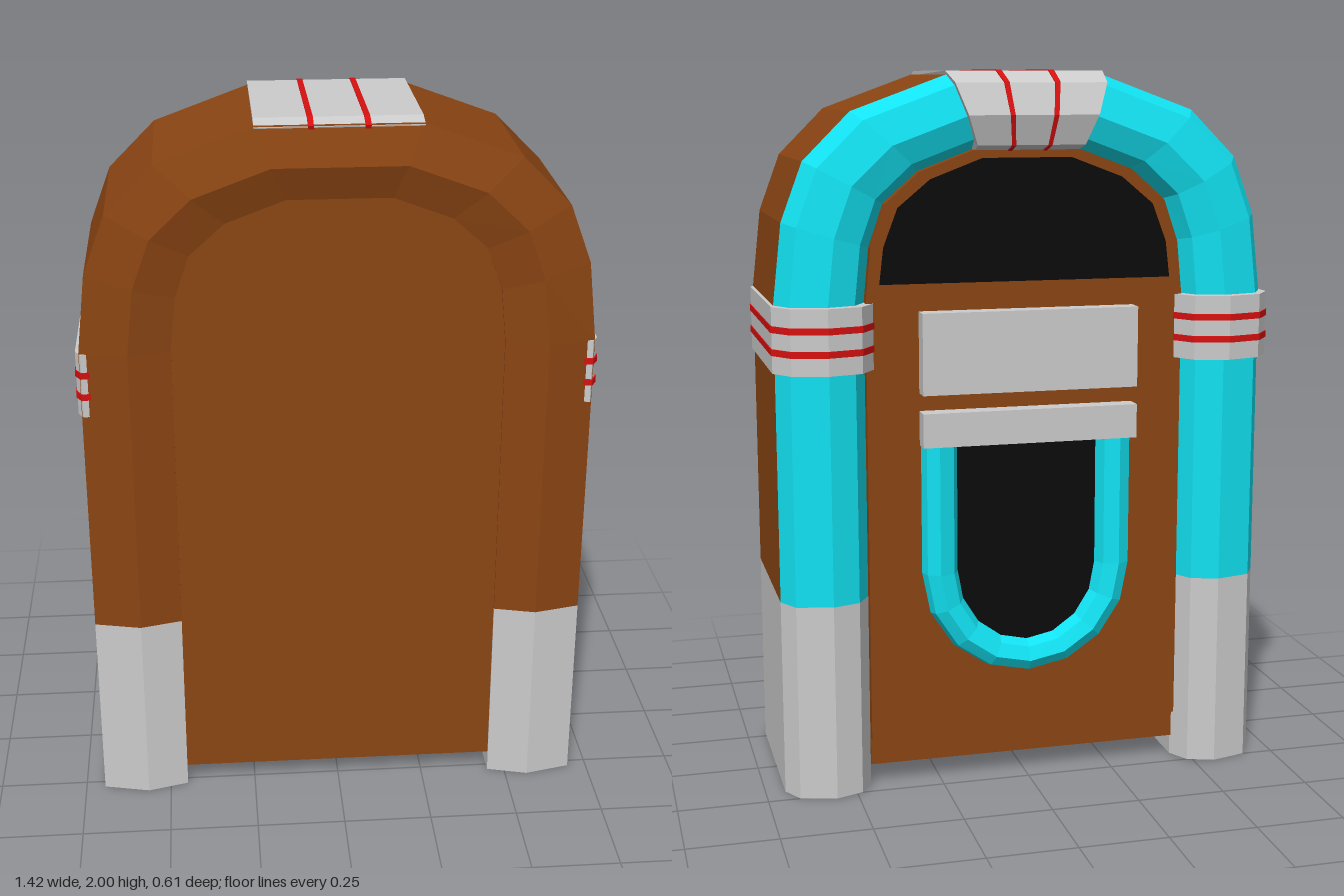
import * as THREE from 'three';

const material = (color) => new THREE.MeshStandardMaterial({ color, flatShading: true });
const GREY = material(0xcccccc), BROWN = material(0x8b4513), CYAN = material(0x12e2f2);
const RED = material(0xd81010), BLACK = material(0x0b0b0b);

// Skin a row of closed cross-sections and cap both ends, facing outward
function loft(sections) {
  const tris = [], n = sections[0].length;
  for (let i = 0; i < sections.length - 1; i++) {
    const a = sections[i], b = sections[i + 1];
    for (let j = 0; j < n; j++) {
      const k = (j + 1) % n;
      tris.push([a[j], a[k], b[k]], [a[j], b[k], b[j]]);
    }
  }
  const first = sections[0], last = sections[sections.length - 1];
  for (let j = 1; j < n - 1; j++) {
    tris.push([first[0], first[j + 1], first[j]], [last[0], last[j], last[j + 1]]);
  }
  const v = (p) => new THREE.Vector3(...p);
  const volume = tris.reduce((s, [a, b, c]) => s + v(a).dot(v(b).cross(v(c))), 0);
  if (volume < 0) tris.forEach((t) => t.reverse());
  const geometry = new THREE.BufferGeometry();
  geometry.setAttribute('position', new THREE.Float32BufferAttribute(tris.flat(2), 3));
  geometry.computeVertexNormals();
  return geometry;
}

// Sweep a [t, z] section between matching outer and inner outlines
const sweep = (outer, inner, section) => loft(outer.map(([ox, oy], i) => section.map(([t, z]) =>
  [ox + (inner[i][0] - ox) * t, oy + (inner[i][1] - oy) * t, z])));

// Complete a right-hand outline with its mirror image
const mirrored = (points) => [...points, ...points.slice().reverse().map(([x, y]) => [-x, y])];

const toShape = (points) => new THREE.Shape(points.map(([x, y]) => new THREE.Vector2(x, y)));

function slab(points, z0, z1) {
  const geometry = new THREE.ExtrudeGeometry(toShape(points), { depth: z1 - z0, bevelEnabled: false });
  return geometry.translate(0, 0, z0);
}

function box(x0, x1, y0, y1, z0, z1) {
  return new THREE.BoxGeometry(x1 - x0, y1 - y0, z1 - z0)
    .translate((x0 + x1) / 2, (y0 + y1) / 2, (z0 + z1) / 2);
}

export function createModel() {
  const group = new THREE.Group();
  const add = (name, geometry, mat) => {
    const mesh = new THREE.Mesh(geometry, mat);
    mesh.name = name;
    group.add(mesh);
  };

  // Arched cabinet: brown casing with a cyan tube on the display face
  const footTop = 0.555;
  const outer = mirrored([[0.695, footTop], [0.695, 1.38], [0.67, 1.6], [0.61, 1.76], [0.48, 1.89], [0.22, 1.985]]);
  const inner = mirrored([[0.45, footTop], [0.45, 1.38], [0.435, 1.53], [0.395, 1.645], [0.3, 1.73], [0.14, 1.79]]);
  const casing = [[0, 0.275], [0.53, 0.305], [1, 0.275], [1, -0.19], [0, -0.19]];
  const tube = [[1, -0.19], [0.86, -0.25], [0.55, -0.275], [0.14, -0.25], [0, -0.19]];
  add('casing', sweep(outer, inner, casing), BROWN);
  add('archTube', sweep(outer, inner, tube), CYAN);

  // Panel filling the arch, with a set-back plinth under it
  add('panel', slab([[0.45, 0.14], ...inner, [-0.45, 0.14]], -0.22, 0.27), BROWN);
  add('plinth', box(-0.45, 0.45, 0.06, 0.14, -0.2, 0.27), BROWN);

  // Feet continue the column section; clamps wrap the columns
  const footSection = [...casing.slice(0, 3), ...tube];
  const clampSection = [[0.69, 0.282], [0.705, 0.255], [0.705, -0.22], [0.662, -0.28], [0.565, -0.305],
    [0.47, -0.28], [0.43, -0.22], [0.46, 0.25]];
  const column = (section, y0, y1, side) =>
    loft([y0, y1].map((y) => section.map(([x, z]) => [side * x, y, z])));
  const stripeSection = clampSection.map(([x, z]) => [0.56 + (x - 0.56) * 1.02, z * 1.01]);
  for (const [label, side] of [['left', 1], ['right', -1]]) {
    const foot = footSection.map(([t, z]) => [0.695 - 0.245 * t, z]);
    add(label + 'Foot', column(foot, 0, footTop, side), GREY);
    add(label + 'Clamp', column(clampSection, 1.2, 1.38, side), GREY);
    for (const y of [1.258, 1.32]) {
      add(label + 'ClampStripe', column(stripeSection, y - 0.009, y + 0.009, side), RED);
    }
  }

  // Clamp over the crown: [half width, y, z], narrowing as it folds down
  const crown = [[0.22, 1.982, 0.278], [0.22, 1.996, 0.23], [0.22, 1.996, -0.19], [0.21, 1.965, -0.268],
    [0.18, 1.88, -0.298], [0.15, 1.8, -0.27], [0.145, 1.78, -0.2], [0.2, 1.93, 0.26]];
  const crownSlice = (s, grow) => crown.map(([w, y, z]) => [s * w, 1.88 + (y - 1.88) * (1 + grow * 2), z * (1 + grow)]);
  add('crownClamp', loft([crownSlice(-1, 0), crownSlice(1, 0)]), GREY);
  for (const side of [-1, 1]) {
    add('crownStripe', loft([crownSlice(side * 0.3, 0.012), crownSlice(side * 0.37, 0.012)]), RED);
  }

  // Arched display window
  const display = mirrored([[0.412, 1.43], [0.4, 1.53], [0.36, 1.635], [0.27, 1.71], [0.125, 1.765]]);
  add('displayWindow', slab(display, -0.223, -0.215), BLACK);

  // Title board and shelf
  add('titleBoard', box(-0.305, 0.305, 1.13, 1.355, -0.273, -0.21), GREY);
  add('shelf', box(-0.305, 0.305, 0.985, 1.08, -0.273, -0.21), GREY);

  // U-shaped frame around the lower window
  const uPath = (rx, ry) => {
    const points = [[rx, 1.0]];
    for (let i = 0; i <= 8; i++) {
      const a = (i / 8) * Math.PI;
      points.push([rx * Math.cos(a), 0.62 - ry * Math.sin(a)]);
    }
    return [...points, [-rx, 1.0]];
  };
  const frameSection = [[0, -0.21], [0.12, -0.25], [0.42, -0.27], [0.8, -0.255], [1, -0.21]];
  add('windowFrame', sweep(uPath(0.305, 0.31), uPath(0.195, 0.21), frameSection), CYAN);
  add('lowerWindow', slab(uPath(0.2, 0.215), -0.223, -0.215), BLACK);

  return group;
}
